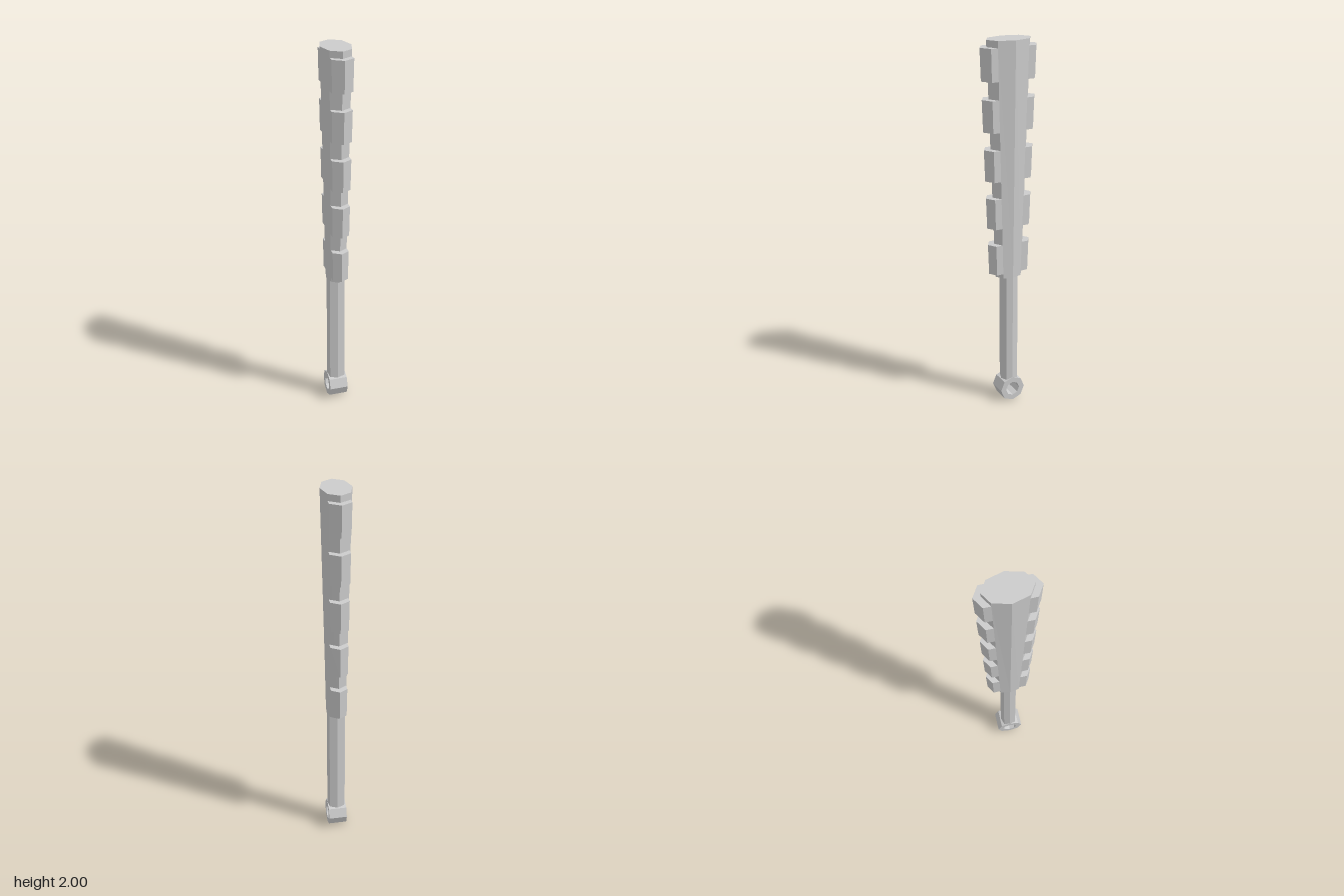
import * as THREE from 'three';

const material = new THREE.MeshStandardMaterial({ color: 0xcccccc, flatShading: true });

// Closed prism between two outlines of [x, z] points (ordered from +x towards +z)
function loft(name, lower, y0, upper, y1) {
  const pos = [];
  const n = lower.length;
  const lo = i => [lower[i % n][0], y0, lower[i % n][1]];
  const up = i => [upper[i % n][0], y1, upper[i % n][1]];
  const tri = (a, b, c) => pos.push(...a, ...b, ...c);
  for (let i = 0; i < n; i++) {
    tri(lo(i), up(i), up(i + 1));
    tri(lo(i), up(i + 1), lo(i + 1));
    if (i > 0 && i < n - 1) {
      tri(lo(0), lo(i), lo(i + 1));
      tri(up(0), up(i + 1), up(i));
    }
  }
  const geometry = new THREE.BufferGeometry();
  geometry.setAttribute('position', new THREE.Float32BufferAttribute(pos, 3));
  geometry.computeVertexNormals();
  const mesh = new THREE.Mesh(geometry, material);
  mesh.name = name;
  return mesh;
}

// Eight-sided outline: side ridge, shoulder and front ridge, mirrored on both axes
const outline = ({ side, sx, sz, tip }) => [
  [side, 0], [sx, sz], [0, tip], [-sx, sz],
  [-side, 0], [-sx, -sz], [0, -tip], [sx, -sz],
];

const BLADE_BOTTOM = 0.745;
const BLADE_TOP = 2;

// Blade dimensions at a given height
function bladeAt(y) {
  const t = (y - BLADE_BOTTOM) / (BLADE_TOP - BLADE_BOTTOM);
  const mix = (a, b) => THREE.MathUtils.lerp(a, b, t);
  return {
    side: mix(0.053, 0.079),
    sx: mix(0.041, 0.056),
    sz: mix(0.051, 0.087),
    tip: mix(0.077, 0.122),
  };
}

// Tooth outline hugging the blade edge; dir is +1 for front, -1 for back
function toothOutline(y, dir) {
  const { sx, sz, tip } = bladeAt(y);
  const out = 0.037;
  return [[sx, sz - 0.01], [sx, sz + out], [0, tip + out], [-sx, sz + out], [-sx, sz - 0.01]]
    .map(([x, z]) => [x * dir, z * dir]);
}

export function createModel() {
  const model = new THREE.Group();
  model.name = 'toothedClub';

  // Tapered blade
  model.add(loft('blade', outline(bladeAt(BLADE_BOTTOM)), BLADE_BOTTOM,
    outline(bladeAt(BLADE_TOP)), BLADE_TOP));

  // Teeth along both edges
  const teeth = new THREE.Group();
  teeth.name = 'teeth';
  for (let i = 0; i < 5; i++) {
    const y0 = 0.77 + i * 0.2575;
    const y1 = y0 + 0.165;
    for (const dir of [1, -1]) {
      teeth.add(loft(dir > 0 ? 'frontTooth' : 'backTooth',
        toothOutline(y0, dir), y0, toothOutline(y1, dir), y1));
    }
  }
  model.add(teeth);

  // Straight grip
  const grip = outline({ side: 0.05, sx: 0.041, sz: 0.033, tip: 0.045 });
  model.add(loft('handle', grip, 0.12, grip, BLADE_BOTTOM + 0.01));

  // Octagonal pommel ring with its hole running along x
  const octagon = r => Array.from({ length: 8 }, (_, i) =>
    new THREE.Vector2(r * Math.cos(i * Math.PI / 4), r * Math.sin(i * Math.PI / 4)));
  const shape = new THREE.Shape(octagon(0.071));
  shape.holes.push(new THREE.Path(octagon(0.04)));
  const ringGeometry = new THREE.ExtrudeGeometry(shape, { depth: 0.1, bevelEnabled: false });
  ringGeometry.translate(0, 0, -0.05).rotateY(Math.PI / 2);
  const ring = new THREE.Mesh(ringGeometry, material);
  ring.name = 'pommelRing';
  ring.position.y = 0.0715;
  model.add(ring);

  return model;
}
